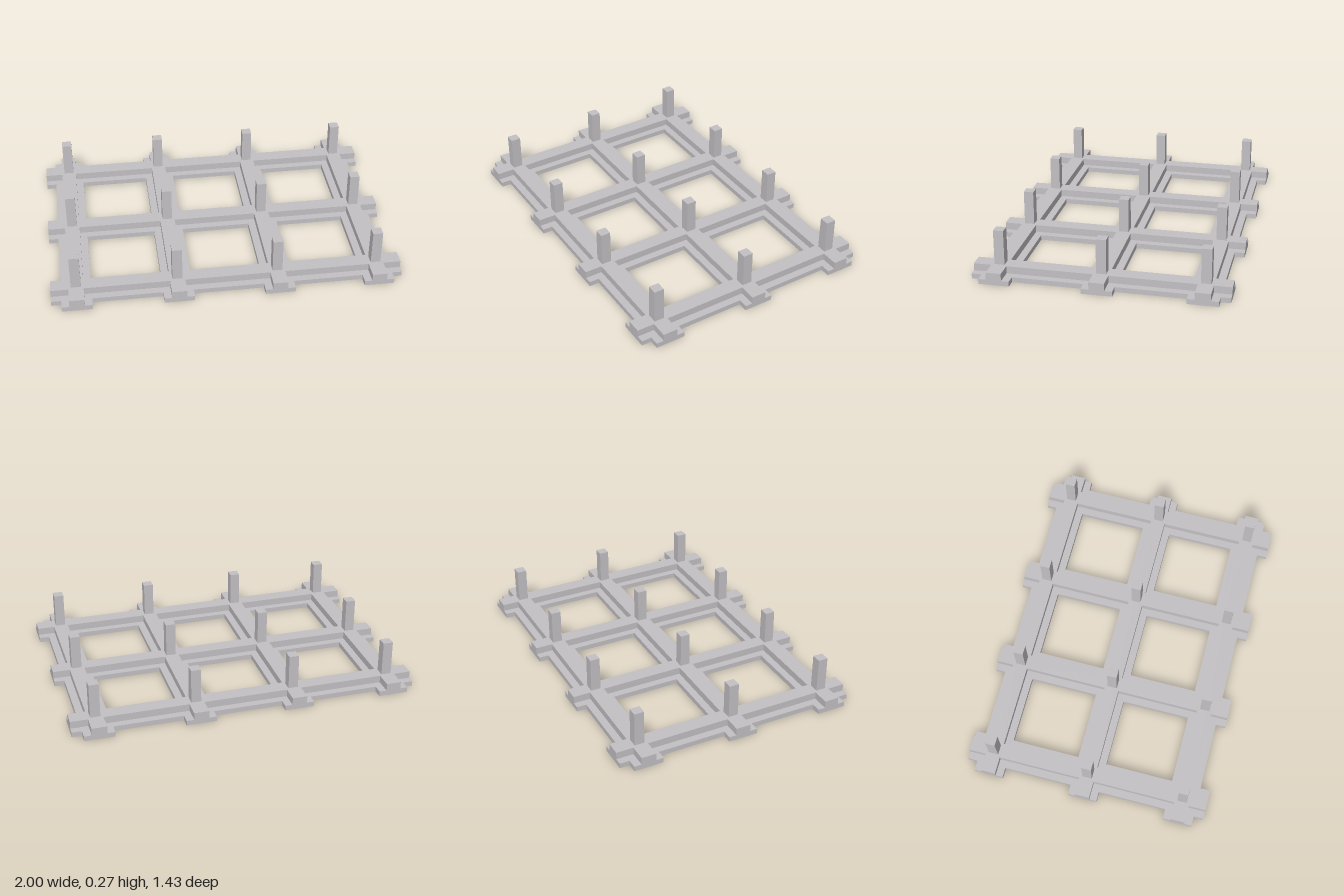
import * as THREE from 'three';

const COLS = [-0.857, -0.286, 0.286, 0.857]; // x of the beams running along z
const ROWS = [-0.571, 0, 0.571];             // z of the beams running along x
const END_X = 1, END_Z = 0.714;
const FOOT_TOP = 0.029, STEM_TOP = 0.071, POST_TOP = 0.272;

// One continuous layer of crossing beams with half-width h, from y0 to y1
function lattice(h, y0, y1) {
  const inX = COLS[3] + h, inZ = ROWS[2] + h;
  // two sides of the outline, with a stub where each beam runs past the edge
  const near = COLS.flatMap(x => [[x - h, -inZ], [x - h, -END_Z], [x + h, -END_Z], [x + h, -inZ]]).slice(0, -1);
  const side = ROWS.flatMap(z => [[inX, z - h], [END_X, z - h], [END_X, z + h], [inX, z + h]]).slice(0, -1);
  const half = [...near, ...side];
  // the other two sides are the same outline turned half a circle
  const outline = [...half, ...half.map(([x, z]) => [-x, -z])];
  const shape = new THREE.Shape(outline.map(([x, z]) => new THREE.Vector2(x, z)));

  // open bays between the beams
  for (let i = 0; i < COLS.length - 1; i++) {
    for (let j = 0; j < ROWS.length - 1; j++) {
      const x0 = COLS[i] + h, x1 = COLS[i + 1] - h;
      const z0 = ROWS[j] + h, z1 = ROWS[j + 1] - h;
      shape.holes.push(new THREE.Path([
        new THREE.Vector2(x0, z0), new THREE.Vector2(x0, z1),
        new THREE.Vector2(x1, z1), new THREE.Vector2(x1, z0),
      ]));
    }
  }
  const geometry = new THREE.ExtrudeGeometry(shape, { depth: y1 - y0, bevelEnabled: false });
  return geometry.rotateX(-Math.PI / 2).translate(0, y0, 0);
}

export function createModel() {
  const group = new THREE.Group();
  group.name = 'stripFoundation';
  const concrete = new THREE.MeshStandardMaterial({ color: 0xc4c1c4 });
  concrete.name = 'concreteGrey';

  const add = (geometry, name) => {
    const mesh = new THREE.Mesh(geometry, concrete);
    mesh.name = name;
    group.add(mesh);
    return mesh;
  };

  // wide footing and the narrower beams on top of it
  add(lattice(0.086, 0, FOOT_TOP), 'footing');
  add(lattice(0.043, FOOT_TOP, STEM_TOP), 'groundBeams');

  // square column at every crossing
  const columnHeight = POST_TOP - STEM_TOP;
  const column = new THREE.BoxGeometry(0.057, columnHeight, 0.057);
  for (const x of COLS) {
    for (const z of ROWS) {
      add(column, 'column').position.set(x, STEM_TOP + columnHeight / 2, z);
    }
  }
  return group;
}
